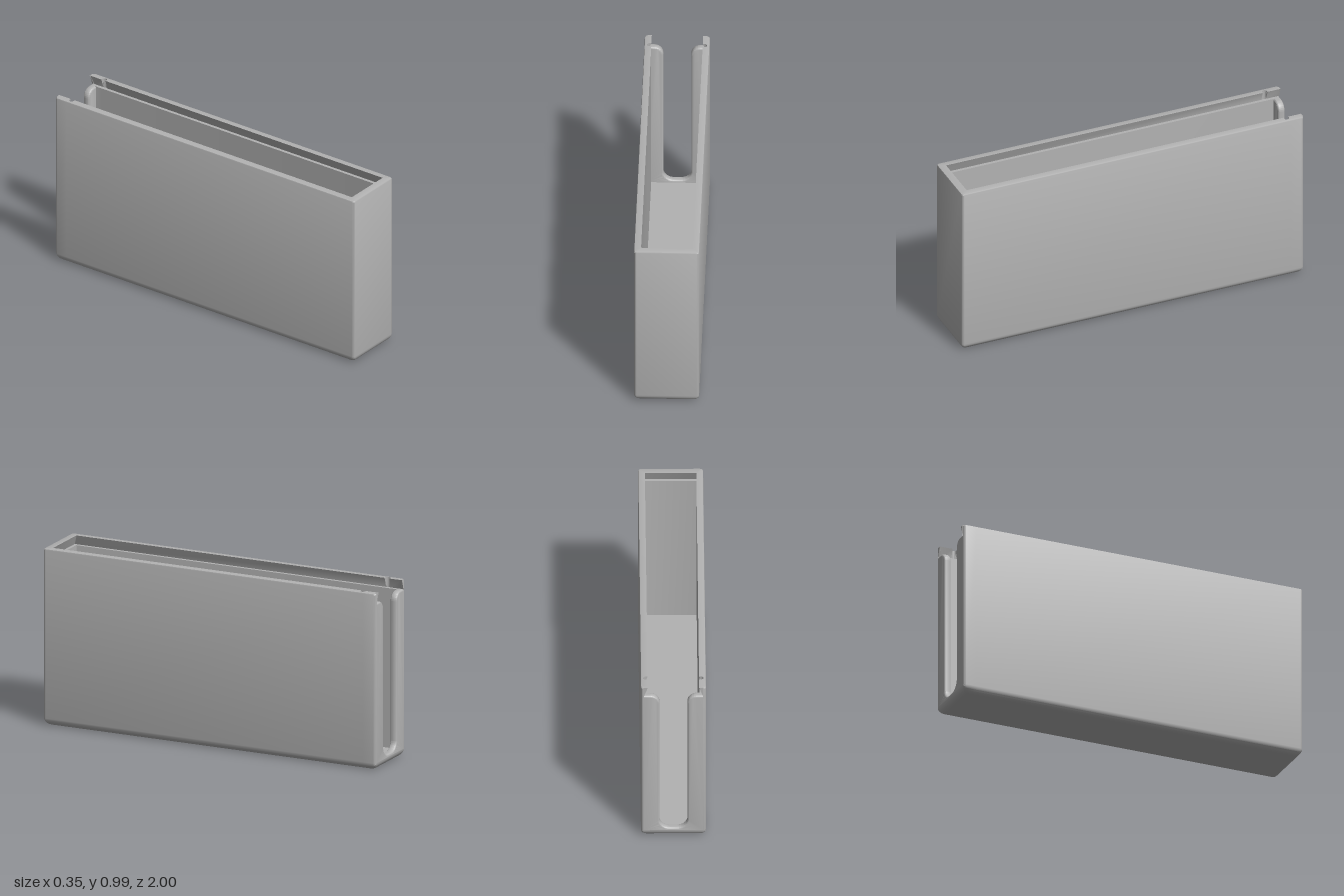
import * as THREE from 'three';
import { toCreasedNormals } from 'three/addons/utils/BufferGeometryUtils.js';

const HW = 0.175, TOP = 0.985, LEDGE = 0.93, FLOOR = 0.04, FILLET = 0.04, CORNER = 0.015;
const NOTCH = { x: 0.148, z: -0.91, r: 0.014 };

// Plan outline: back right corner, along the right side, across the front, back along the left
function ring({ hw, zf, zb, y, r = 0.002, notch = false }) {
  const half = [];
  const arc = (cz, from) => {
    for (let i = 0; i <= 4; i++) {
      const a = from + (i / 4) * Math.PI / 2;
      half.push([hw - r + r * Math.cos(a), cz + r * Math.sin(a)]);
    }
  };
  arc(zb + r, -Math.PI / 2);
  for (let i = 0; i <= 10; i++) {
    const a = Math.PI * (i / 10 - 0.5);
    const bulge = NOTCH.x + NOTCH.r * Math.cos(a);
    const x = notch && i > 0 && i < 10 ? Math.max(hw, bulge) : hw;
    half.push([x, NOTCH.z + NOTCH.r * Math.sin(a)]);
  }
  arc(zf - r, 0);
  const right = half.map(([x, z]) => new THREE.Vector3(-x, y, z));
  const left = half.map(([x, z]) => new THREE.Vector3(x, y, z)).reverse();
  return [...right, ...left];
}

// Skin over the rings, capped at both ends; the back stays open above the bottom fillet
function loft(rings) {
  const pos = [];
  const tri = (...ps) => ps.forEach((p) => pos.push(p.x, p.y, p.z));
  const n = rings[0].length;
  for (let i = 0; i + 1 < rings.length; i++) {
    const a = rings[i], b = rings[i + 1];
    const closed = b[0].y <= FILLET + 1e-6 && i < 10;
    for (let j = 0; j < (closed ? n : n - 1); j++) {
      const k = (j + 1) % n;
      tri(a[j], a[k], b[k]);
      tri(a[j], b[k], b[j]);
    }
  }
  const first = rings[0], last = rings[rings.length - 1];
  for (let j = 1; j + 1 < n; j++) {
    tri(first[0], first[j + 1], first[j]);
    tri(last[0], last[j], last[j + 1]);
  }
  const g = new THREE.BufferGeometry();
  g.setAttribute('position', new THREE.Float32BufferAttribute(pos, 3));
  return toCreasedNormals(g, 0.5);
}

export function createModel() {
  const group = new THREE.Group();
  const grey = new THREE.MeshStandardMaterial({ color: 0xb2b2b2 });
  grey.name = 'plain grey';
  const add = (name, geometry) => {
    const mesh = new THREE.Mesh(geometry, grey);
    mesh.name = name;
    group.add(mesh);
    return mesh;
  };

  // Case: rounded bottom, outer walls, rim, undercut lid groove, ledge, cavity and floor
  const rings = [];
  const outer = (inset, y) => rings.push(ring({ hw: HW - inset, zf: 1 - inset, zb: -1 + inset, y, r: CORNER }));
  for (let i = 0; i <= 6; i++) {
    const a = (i / 6) * Math.PI / 2;
    outer(FILLET * (1 - Math.sin(a)), FILLET * (1 - Math.cos(a)));
  }
  outer(0, TOP - 0.007);
  outer(0.002, TOP - 0.002);
  outer(0.007, TOP);
  rings.push(
    ring({ hw: 0.138, zf: 0.958, zb: -1, y: TOP, notch: true }),
    ring({ hw: 0.158, zf: 0.978, zb: -0.985, y: LEDGE, notch: true }),
    ring({ hw: 0.14, zf: 0.96, zb: -0.985, y: LEDGE }),
    ring({ hw: 0.14, zf: 0.96, zb: -0.985, y: FLOOR }),
  );
  add('caseBody', loft(rings));

  // Back wall with a tall rounded slot
  const b = 0.012, w = HW - 0.003, s = 0.075, rt = 0.05, rb = 0.055, y0 = 0.028, ys = 0.055;
  const wall = new THREE.Shape();
  wall.moveTo(-w, y0);
  wall.lineTo(w, y0);
  wall.lineTo(w, LEDGE);
  wall.lineTo(s + rt, LEDGE);
  wall.absarc(s + rt, LEDGE - rt, rt, Math.PI / 2, Math.PI, false);
  wall.lineTo(s, ys + rb);
  wall.absarc(s - rb, ys + rb, rb, 0, -Math.PI / 2, true);
  wall.lineTo(-s + rb, ys);
  wall.absarc(-s + rb, ys + rb, rb, -Math.PI / 2, -Math.PI, true);
  wall.lineTo(-s, LEDGE - rt);
  wall.absarc(-s - rt, LEDGE - rt, rt, 0, Math.PI / 2, false);
  wall.lineTo(-w, LEDGE);
  wall.closePath();
  const wallGeometry = new THREE.ExtrudeGeometry(wall, {
    depth: 0.04 - 2 * b, bevelEnabled: true, bevelThickness: b, bevelSize: b,
    bevelOffset: -b, bevelSegments: 5, curveSegments: 12,
  });
  add('slottedBackWall', toCreasedNormals(wallGeometry, 0.5)).position.z = -1 + b;

  // Ends of the undercut lips at the open back
  for (const side of [-1, 1]) {
    const end = new THREE.Shape([
      [0.138, TOP], [0.161, TOP], [0.161, 0.9], [0.158, LEDGE],
    ].map(([x, y]) => new THREE.Vector2(side * x, y)));
    const g = new THREE.ExtrudeGeometry(end, { depth: 0.02, bevelEnabled: false });
    add(side > 0 ? 'leftLipEnd' : 'rightLipEnd', g).position.z = -1;
  }
  return group;
}
